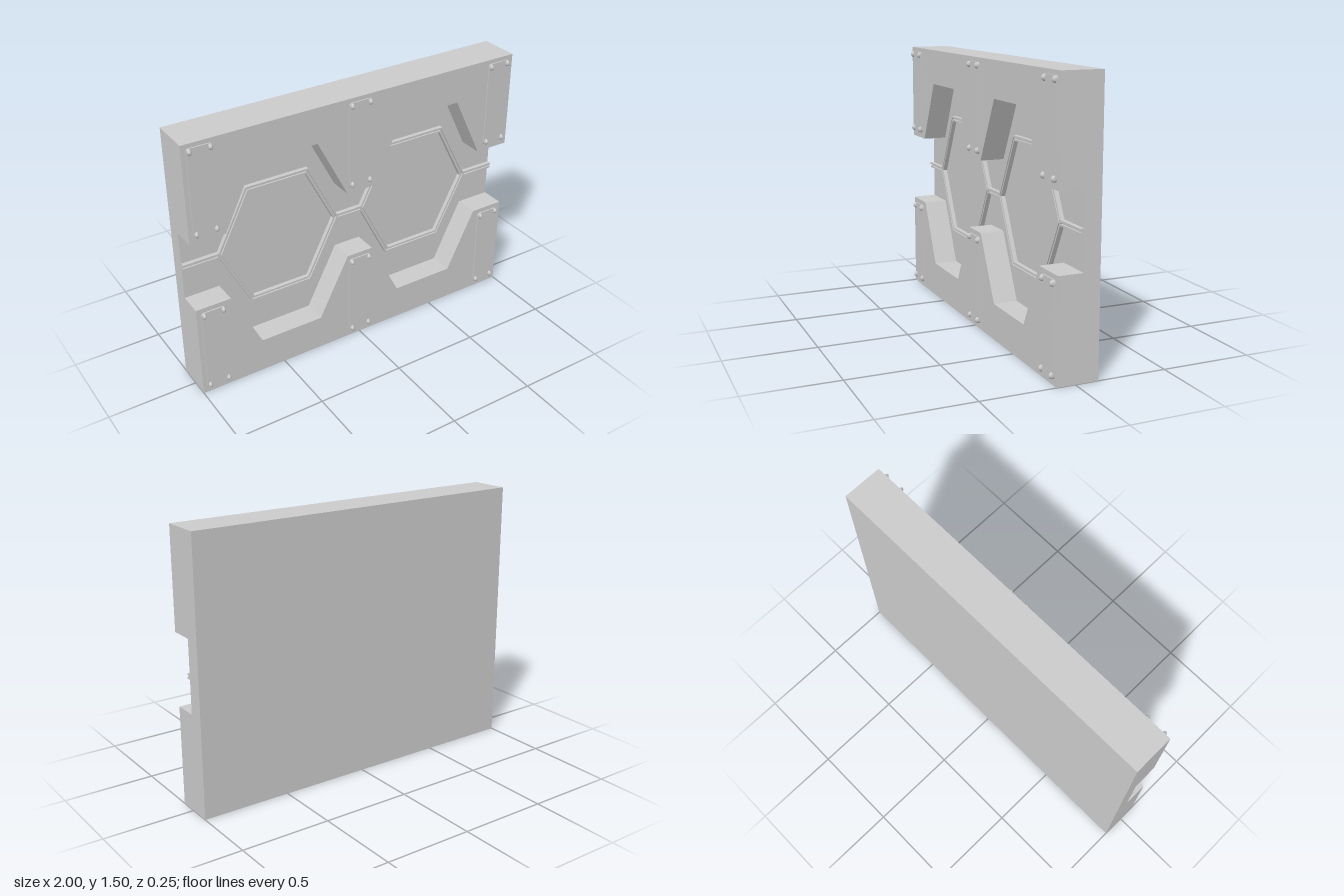
import * as THREE from 'three';

const material = new THREE.MeshStandardMaterial({ color: 0xcccccc });
const FLOOR = -0.035, FRONT = 0.1, BACK = -0.125;

function add(parent, name, geometry, x = 0, y = 0, z = 0) {
  const mesh = new THREE.Mesh(geometry, material);
  mesh.name = name;
  mesh.position.set(x, y, z);
  parent.add(mesh);
  return mesh;
}

const extrude = (shape, depth) =>
  new THREE.ExtrudeGeometry(shape, { depth, bevelEnabled: false, curveSegments: 5 });

// Hexagon outline, moved inwards by an inset measured square to its edges
function hexagon(inset) {
  const halfHeight = 0.355 - inset;
  const corner = 0.367 - inset * 1.12;
  const halfTop = corner - halfHeight * 0.51;
  return [
    [corner, 0], [halfTop, halfHeight], [-halfTop, halfHeight],
    [-corner, 0], [-halfTop, -halfHeight], [halfTop, -halfHeight],
  ].map(([x, y]) => new THREE.Vector2(x, y));
}

function hexRing(outer, inner, depth) {
  const shape = new THREE.Shape(hexagon(outer));
  shape.holes.push(new THREE.Path(hexagon(inner)));
  return extrude(shape, depth);
}

function roundedPlate(w, h, r, depth) {
  const s = new THREE.Shape();
  const x = w / 2, y = h / 2;
  s.absarc(x - r, y - r, r, 0, Math.PI / 2);
  s.absarc(-x + r, y - r, r, Math.PI / 2, Math.PI);
  s.absarc(-x + r, -y + r, r, Math.PI, Math.PI * 1.5);
  s.absarc(x - r, -y + r, r, Math.PI * 1.5, Math.PI * 2);
  s.closePath();
  return extrude(s, depth);
}

export function createModel() {
  const model = new THREE.Group();
  model.name = 'wallPanel';

  // Back slab
  add(model, 'backSlab', new THREE.BoxGeometry(2, 1.5, FLOOR - BACK), 0, 0.75, (FLOOR + BACK) / 2);

  // Thick upper and lower borders with the stepped recess edge
  const edge = [
    [-1, 0.2], [-0.8, 0.2], [-0.63, 0.55], [-0.26, 0.55], [-0.08, 0.2],
    [0.08, 0.2], [0.26, 0.55], [0.63, 0.55], [0.8, 0.2], [1, 0.2],
  ];
  for (const side of [1, -1]) {
    const points = [...edge, [1, 0.75], [-1, 0.75]].map(([x, y]) => new THREE.Vector2(x, 0.75 + side * y));
    add(model, side > 0 ? 'upperBorder' : 'lowerBorder',
      extrude(new THREE.Shape(points), FRONT - FLOOR), 0, 0, FLOOR);
  }

  // Grooved hexagonal rails: a low base with two raised strips
  for (const x of [-0.438, 0.438]) {
    const ring = new THREE.Group();
    ring.name = 'hexagonRail';
    ring.position.set(x, 0.75, FLOOR);
    add(ring, 'railBase', hexRing(0, 0.028, 0.015));
    add(ring, 'outerStrip', hexRing(0, 0.01, 0.024));
    add(ring, 'innerStrip', hexRing(0.018, 0.028, 0.024));
    model.add(ring);
  }

  // Straight rails joining the hexagons and the panel ends
  for (const [x, length] of [[-0.895, 0.21], [0, 0.16], [0.895, 0.21]]) {
    const rail = new THREE.Group();
    rail.name = 'straightRail';
    rail.position.set(x, 0.75, FLOOR);
    add(rail, 'railBase', new THREE.BoxGeometry(length, 0.028, 0.015), 0, 0, 0.0075);
    for (const y of [-0.01, 0.01]) {
      add(rail, 'railStrip', new THREE.BoxGeometry(length, 0.01, 0.024), 0, y, 0.012);
    }
    model.add(rail);
  }

  // Riveted cover plates
  const plateGeometry = roundedPlate(0.14, 0.493, 0.018, 0.007);
  const rivetGeometry = new THREE.SphereGeometry(1, 12, 8).scale(0.012, 0.018, 0.022);
  for (const x of [-0.905, 0, 0.905]) {
    for (const y of [0.277, 1.23]) {
      const plate = new THREE.Group();
      plate.name = 'rivetedPlate';
      plate.position.set(x, y, FRONT);
      add(plate, 'plate', plateGeometry);
      for (const rx of [-0.055, 0.055]) {
        for (const ry of [-0.228, 0.228]) add(plate, 'rivet', rivetGeometry, rx, ry, 0.003);
      }
      model.add(plate);
    }
  }
  return model;
}
